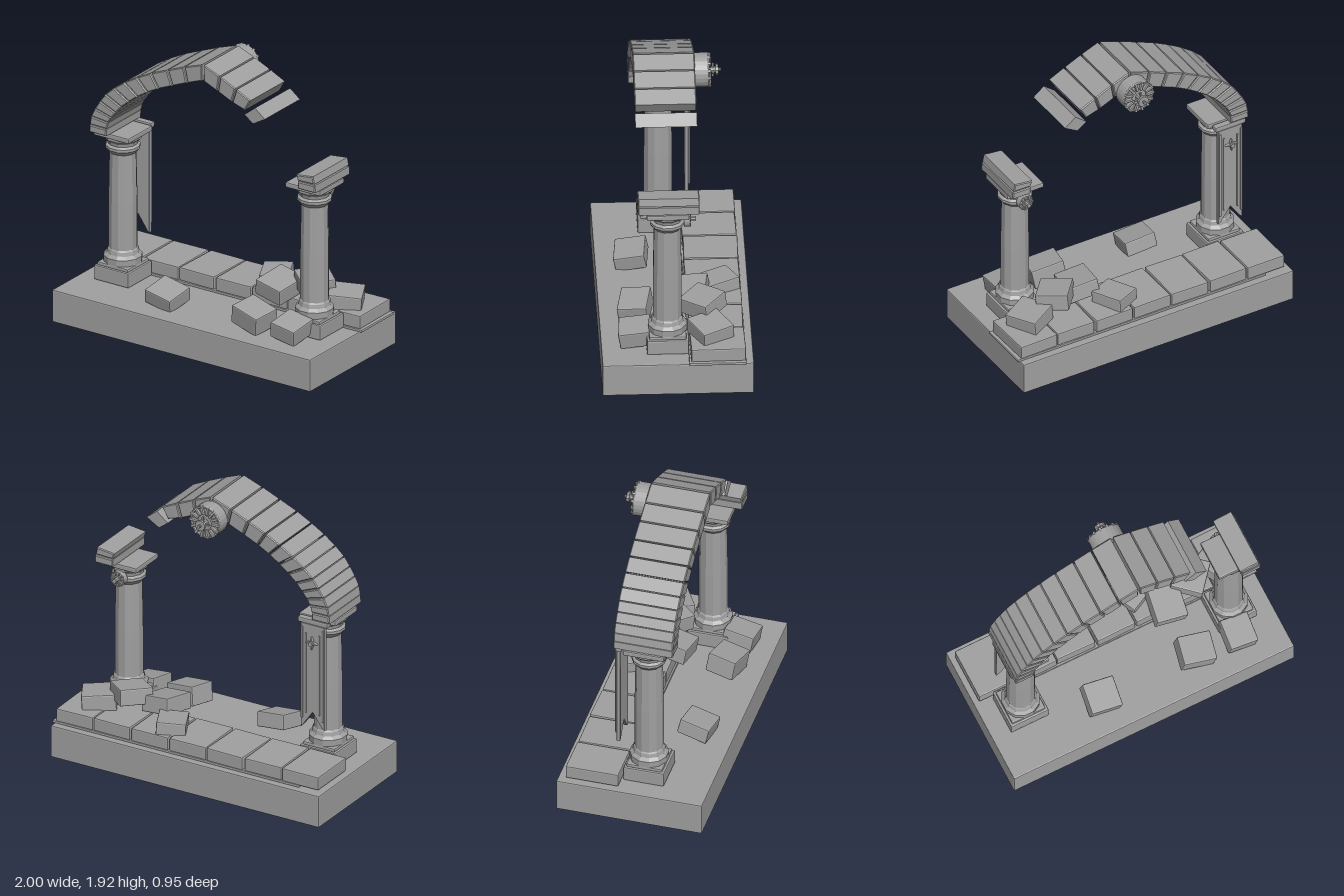
import * as THREE from 'three';
import { RoundedBoxGeometry } from 'three/addons/geometries/RoundedBoxGeometry.js';

const stone = new THREE.MeshStandardMaterial({ color: 0xa0a0a0, flatShading: true });
stone.name = 'grey stone';
const ARCH_Z = 0.055, ARCH_DEPTH = 0.39;

export function createModel() {
  const root = new THREE.Group();
  root.name = 'ruinedArch';

  const add = (name, geo, pos = [0, 0, 0], rot = [0, 0, 0], parent = root) => {
    const m = new THREE.Mesh(geo, stone);
    m.name = name;
    m.position.set(...pos);
    m.rotation.set(...rot);
    parent.add(m);
    return m;
  };
  const block = (name, size, pos, rot, parent) =>
    add(name, new RoundedBoxGeometry(...size, 1, Math.min(0.008, Math.min(...size) * 0.3)), pos, rot, parent);
  const group = (name, x, y, z) => {
    const g = new THREE.Group();
    g.name = name;
    g.position.set(x, y, z);
    root.add(g);
    return g;
  };
  // Bevelled prism with its outline in x,y, running from z0 for the given depth
  const prism = (name, pts, z0, depth, bevel = 0.006, parent = root) => {
    const shape = new THREE.Shape(pts.map(p => new THREE.Vector2(p[0], p[1])));
    const geo = new THREE.ExtrudeGeometry(shape, {
      depth: depth - 2 * bevel, bevelEnabled: bevel > 0, bevelThickness: bevel,
      bevelSize: bevel, bevelOffset: -bevel, bevelSegments: 1,
    });
    return add(name, geo, [0, 0, z0 + bevel], [0, 0, 0], parent);
  };

  // Foundation
  block('foundation', [1.98, 0.22, 0.955], [-0.01, 0.11, 0]);
  block('pavingBed', [1.82, 0.018, 0.36], [0.085, 0.226, -0.25]);

  // Row of paving slabs along the back
  for (let i = 0; i < 7; i++) {
    const x = -0.83 + i * 0.278;
    block('pavingSlab', [0.268, 0.09, 0.345], [x, 0.276, -0.253 + 0.003 * (i % 2)],
      [0, 0.02 * Math.sin(i * 2.3), 0]);
  }

  // Two matching columns
  const profile = [[0, 0.34], [0.123, 0.34], [0.125, 0.385], [0.105, 0.405], [0.1, 0.43],
    [0.093, 0.44], [0.093, 0.75], [0.087, 1.09], [0.096, 1.1], [0.112, 1.12], [0.112, 1.138],
    [0.095, 1.15], [0.1, 1.17], [0.122, 1.192], [0.122, 1.212], [0, 1.212]]
    .map(p => new THREE.Vector2(...p));
  for (const [side, x] of [['right', -0.743], ['left', 0.727]]) {
    const col = group(side + 'Column', x, 0, 0.06);
    block('plinth', [0.265, 0.1, 0.265], [0, 0.272, 0], undefined, col);
    block('plinthStep', [0.235, 0.025, 0.235], [0, 0.33, 0], undefined, col);
    add('shaft', new THREE.LatheGeometry(profile, 12), [0, 0, 0], [0, Math.PI / 12, 0], col);
    block('abacus', [0.268, 0.036, 0.268], [0, 1.229, 0], undefined, col);
  }

  // Arch joints: outer x, outer y, inner x, inner y
  const longSide = [
    [-0.872, 1.251, -0.743, 1.251], [-0.868, 1.305, -0.74, 1.303], [-0.858, 1.364, -0.727, 1.35],
    [-0.829, 1.424, -0.702, 1.39], [-0.791, 1.483, -0.668, 1.432], [-0.749, 1.541, -0.626, 1.481],
    [-0.684, 1.6, -0.567, 1.533], [-0.604, 1.658, -0.5, 1.583], [-0.508, 1.715, -0.425, 1.631],
    [-0.401, 1.77, -0.342, 1.676], [-0.273, 1.823, -0.235, 1.722], [-0.146, 1.875, -0.121, 1.77],
    [-0.003, 1.925, -0.003, 1.815]];
  const shortSide = [
    [0.003, 1.925, 0.003, 1.815], [0.13, 1.875, 0.112, 1.77],
    [0.253, 1.82, 0.222, 1.722], [0.368, 1.765, 0.325, 1.69]];
  const springer = [[0.86, 1.251, 0.727, 1.251], [0.858, 1.307, 0.727, 1.305]];
  const lerp = (a, b, t) => a.map((v, i) => v + (b[i] - v) * t);
  for (const joints of [longSide, shortSide, springer]) {
    for (let i = 0; i + 1 < joints.length; i++) {
      const a = lerp(joints[i], joints[i + 1], 0.04), b = lerp(joints[i], joints[i + 1], 0.96);
      prism('archStone', [[a[0], a[1]], [a[2], a[3]], [b[2], b[3]], [b[0], b[1]]],
        ARCH_Z - ARCH_DEPTH / 2, ARCH_DEPTH);
    }
  }
  prism('looseSpringer', [[0.727, 1.308], [0.853, 1.312], [0.843, 1.362], [0.715, 1.347]],
    ARCH_Z - ARCH_DEPTH / 2, ARCH_DEPTH);
  prism('fallingStone', [[0.32, 1.663], [0.385, 1.615], [0.476, 1.668], [0.4, 1.727]],
    ARCH_Z - ARCH_DEPTH / 2, ARCH_DEPTH, 0);

  // Round rosette facing the back: drum, rim, spokes and hub
  const rosette = (name, x, y, z, r, depth, spokes) => {
    const g = group(name, x, y, z);
    g.rotation.y = Math.PI;
    add('drum', new THREE.CylinderGeometry(r, r, depth, 24), [0, 0, depth / 2], [Math.PI / 2, 0, 0], g);
    add('rim', new THREE.TorusGeometry(r * 0.93, r * 0.09, 6, 24), [0, 0, depth], [0, 0, 0], g);
    for (let i = 0; i < spokes; i++) {
      const a = (i / spokes) * Math.PI * 2;
      block('petal', [r * 0.55, r * 0.16, r * 0.22],
        [Math.cos(a) * r * 0.74, Math.sin(a) * r * 0.74, depth + r * 0.06], [0, 0, a], g);
    }
    return g;
  };
  const key = rosette('keystoneRosette', -0.01, 1.79, -0.137, 0.11, 0.088, 14);
  const hubParts = [[0.022, 0.07, 0.11], [0.036, 0.018, 0.145], [0.01, 0.03, 0.158]];
  for (const [r, len, z] of hubParts)
    add('hub', new THREE.CylinderGeometry(r, r, len, 10), [0, 0, z], [Math.PI / 2, 0, 0], key);
  for (let i = 0; i < 4; i++) {
    const a = i * Math.PI / 2;
    block('hubArm', [0.04, 0.012, 0.014], [Math.cos(a) * 0.03, Math.sin(a) * 0.03, 0.12], [0, 0, a], key);
  }
  const small = rosette('columnRosette', 0.727, 1.145, -0.045, 0.052, 0.035, 10);
  add('hub', new THREE.CylinderGeometry(0.015, 0.015, 0.04, 8), [0, 0, 0.055], [Math.PI / 2, 0, 0], small);

  // Hanging banner behind the right column, with a swallowtail foot
  const banner = group('banner', -0.743, 0, 0);
  prism('cloth', [[-0.088, 1.215], [-0.088, 0.49], [-0.07, 0.5], [0, 0.6], [0.07, 0.5],
    [0.088, 0.49], [0.088, 1.215]], -0.13, 0.025, 0.003, banner);
  block('rail', [0.22, 0.036, 0.045], [0, 1.232, -0.112], undefined, banner);
  for (const s of [-1, 1]) {
    block('edgeStrip', [0.014, 0.64, 0.014], [s * 0.078, 0.87, -0.133], undefined, banner);
    block('innerStrip', [0.01, 0.56, 0.012], [s * 0.05, 0.87, -0.132], undefined, banner);
  }
  const star = [];
  for (let i = 0; i < 8; i++) {
    const r = i % 2 ? 0.014 : 0.045, a = i * Math.PI / 4;
    star.push([Math.cos(a) * r, 1.09 + Math.sin(a) * r]);
  }
  prism('star', star, -0.15, 0.022, 0, banner);
  add('starBoss', new THREE.CylinderGeometry(0.016, 0.016, 0.035, 8), [0, 1.09, -0.145],
    [Math.PI / 2, 0, 0], banner);

  // Fallen blocks: size, position, rotation
  const rubble = [
    [[0.21, 0.1, 0.2], [-0.27, 0.285, 0.25], [0.2, -0.12, -0.12]],
    [[0.22, 0.13, 0.19], [0.395, 0.305, 0.25], [0.12, -0.2, -0.15]],
    [[0.21, 0.11, 0.24], [0.36, 0.385, -0.09], [0.15, -0.15, -0.12]],
    [[0.19, 0.11, 0.2], [0.69, 0.295, 0.26], [0.16, -0.08, -0.12]],
    [[0.19, 0.1, 0.22], [0.2, 0.345, -0.28], [0.05, 0.45, 0.03]],
    [[0.21, 0.11, 0.22], [0.57, 0.43, -0.17], [0.08, -0.7, -0.06]],
    [[0.22, 0.11, 0.22], [0.78, 0.36, -0.21], [0.05, 0.5, -0.1]],
  ];
  for (const [size, pos, rot] of rubble) block('fallenBlock', size, pos, rot);

  return root;
}
